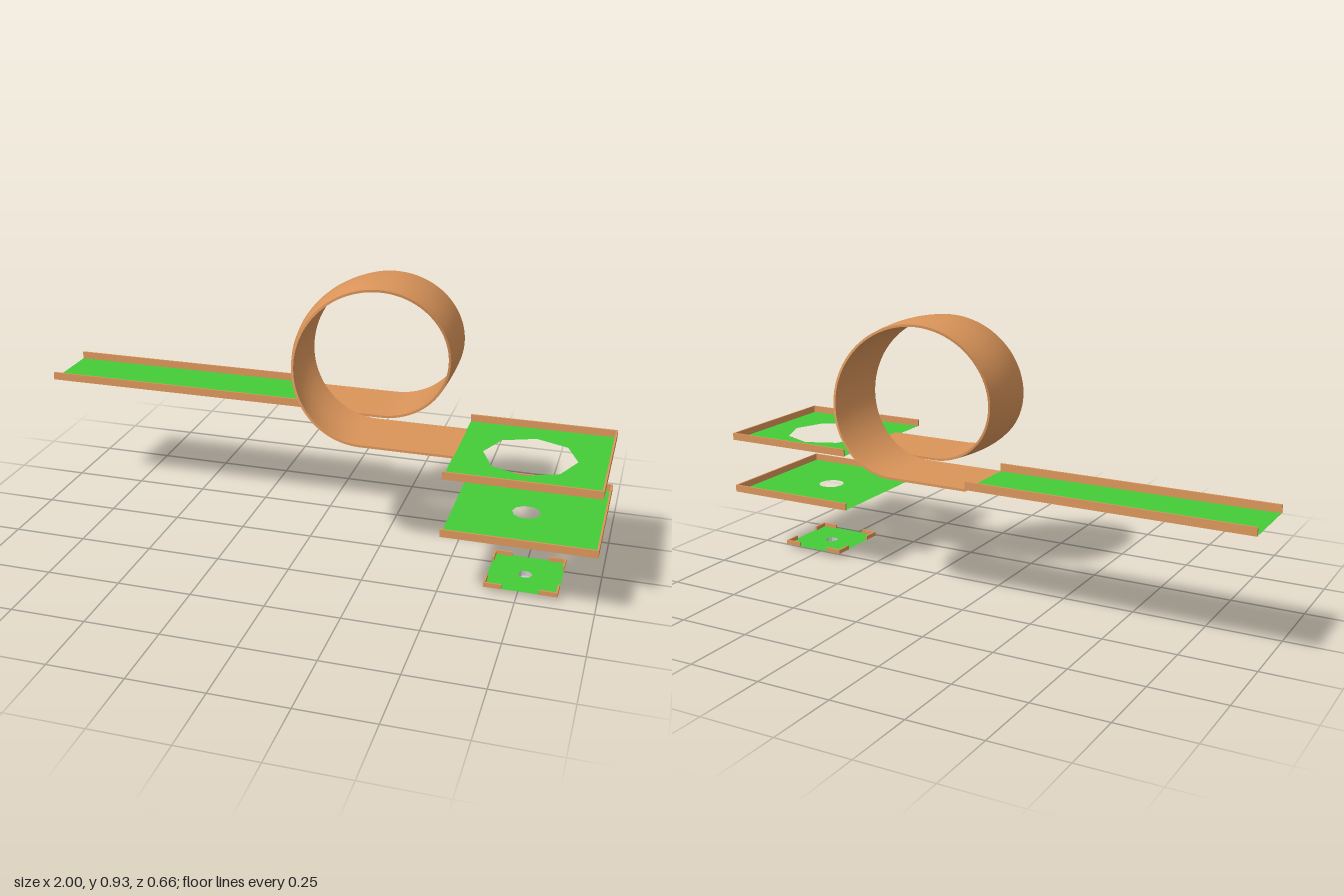
import * as THREE from 'three';
import { mergeGeometries } from 'three/addons/utils/BufferGeometryUtils.js';

const wood = new THREE.MeshStandardMaterial({ color: 0xdb955a, side: THREE.DoubleSide });
const turf = new THREE.MeshStandardMaterial({ color: 0x44cc38, side: THREE.DoubleSide });
const metal = new THREE.MeshStandardMaterial({ color: 0xcccccc, side: THREE.DoubleSide });

function add(parent, name, geometry, material) {
  const mesh = new THREE.Mesh(geometry, material);
  mesh.name = name;
  parent.add(mesh);
  return mesh;
}

// Box given by its limits on each axis
function rail(parent, name, x0, x1, y0, y1, z0, z1) {
  add(parent, name, new THREE.BoxGeometry(x1 - x0, y1 - y0, z1 - z0), wood)
    .position.set((x0 + x1) / 2, (y0 + y1) / 2, (z0 + z1) / 2);
}

// Thin turf sheet with an optional polygonal hole
function sheet(parent, name, x0, x1, z0, z1, y, hole) {
  const s = new THREE.Shape([[x0, -z0], [x0, -z1], [x1, -z1], [x1, -z0]].map(p => new THREE.Vector2(...p)));
  if (hole) {
    const pts = [];
    for (let i = 0; i < hole.sides; i++) {
      const a = -i / hole.sides * Math.PI * 2;
      pts.push(new THREE.Vector2(hole.x + hole.r * Math.cos(a), -hole.z + hole.r * Math.sin(a)));
    }
    s.holes.push(new THREE.Path(pts));
  }
  const g = new THREE.ShapeGeometry(s);
  g.rotateX(-Math.PI / 2);
  g.translate(0, y, 0);
  add(parent, name, g, turf);
}

// Loop ribbon: level entry, sideways-drifting loop, level exit
const CX = 0.218, CY = 0.679, R = 0.243, THICK = 0.008, HALF = 0.118;
const Z_IN = -0.21, Z_OUT = 0.055, X_IN = -0.06, X_OUT = 0.52;

function ribbonPoint(u, s, depth) {
  const a = 0.08, b = 0.92;
  const t = THREE.MathUtils.clamp((u - a) / (b - a), 0, 1);
  const angle = t * Math.PI * 2;
  const z = Z_IN + (Z_OUT - Z_IN) * t * t * (3 - 2 * t) + s * HALF;
  if (u < a) return [X_IN + (CX - X_IN) * u / a, CY - R + depth, z];
  if (u > b) return [CX + (X_OUT - CX) * (u - b) / (1 - b), CY - R + depth, z];
  const bulge = 0.015 * Math.max(0, -Math.sin(angle)) + 0.009 * Math.sin(angle / 2) ** 2;
  const r = R - depth + bulge * (1 - s * s);
  return [CX + r * Math.sin(angle), CY - r * Math.cos(angle), z];
}

function surface(rows, point) {
  const g = new THREE.PlaneGeometry(1, 1, 100, rows);
  const p = g.attributes.position;
  for (let i = 0; i < p.count; i++) p.setXYZ(i, ...point(p.getX(i) + 0.5, p.getY(i) * 2));
  g.computeVertexNormals();
  return g;
}

function loopRibbon() {
  return mergeGeometries([
    surface(6, (u, s) => ribbonPoint(u, -s, THICK)),
    surface(6, (u, s) => ribbonPoint(u, s, 0)),
    surface(1, (u, s) => ribbonPoint(u, 1, THICK * (s + 1) / 2)),
    surface(1, (u, s) => ribbonPoint(u, -1, THICK * (1 - s) / 2)),
  ]);
}

export function createModel() {
  const root = new THREE.Group();
  root.name = 'miniGolfCourse';
  const W = 0.006;

  // Straight starting lane
  const lane = new THREE.Group();
  lane.name = 'startLane';
  root.add(lane);
  sheet(lane, 'laneTurf', -1, -0.06, -0.33, -0.09, 0.444);
  rail(lane, 'laneBackRail', -1, -0.06, 0.443, 0.47, -0.333, -0.333 + W);
  rail(lane, 'laneFrontRail', -1, -0.06, 0.443, 0.47, -0.09 - W, -0.09);

  // Loop
  add(root, 'loopTrack', loopRibbon(), wood);

  // Two stacked greens, open on the entry side
  const greens = [
    { name: 'upperGreen', y: 0.433, hole: { x: 0.75, z: 0.083, r: 0.15, sides: 8 } },
    { name: 'middleGreen', y: 0.238, hole: { x: 0.75, z: 0.083, r: 0.046, sides: 10 } },
  ];
  for (const { name, y, hole } of greens) {
    const g = new THREE.Group();
    g.name = name;
    root.add(g);
    sheet(g, name + 'Turf', 0.517, 1, -0.16, 0.33, y + 0.001, hole);
    rail(g, name + 'BackRail', 0.517, 1, y, y + 0.025, -0.161, -0.161 + W);
    rail(g, name + 'FrontRail', 0.517, 1, y, y + 0.025, 0.33 - W, 0.33);
    rail(g, name + 'EndRail', 1 - W, 1, y, y + 0.025, -0.161, 0.33);
  }

  // Small bottom green with corner rails and cup
  const low = new THREE.Group();
  low.name = 'lowerGreen';
  low.position.set(0.76, 0, 0.086);
  root.add(low);
  const H = 0.119, GAP = 0.06, Y = 0.016;
  sheet(low, 'lowerTurf', -H, H, -H, H, Y + 0.001, { x: 0, z: 0, r: 0.023, sides: 10 });
  for (const sx of [-1, 1]) for (const sz of [-1, 1]) {
    const span = (s, a, b) => s > 0 ? [a, b] : [-b, -a];
    rail(low, 'cornerRail', ...span(sx, GAP, H), Y, 0.031, ...span(sz, H - W, H));
    rail(low, 'cornerRail', ...span(sx, H - W, H), Y, 0.031, ...span(sz, GAP, H - W));
  }
  const cup = new THREE.LatheGeometry([[0, 0], [0.023, 0], [0.023, 0.017]].map(p => new THREE.Vector2(...p)), 10)
    .toNonIndexed();
  cup.computeVertexNormals();
  add(low, 'cup', cup, metal);

  return root;
}
